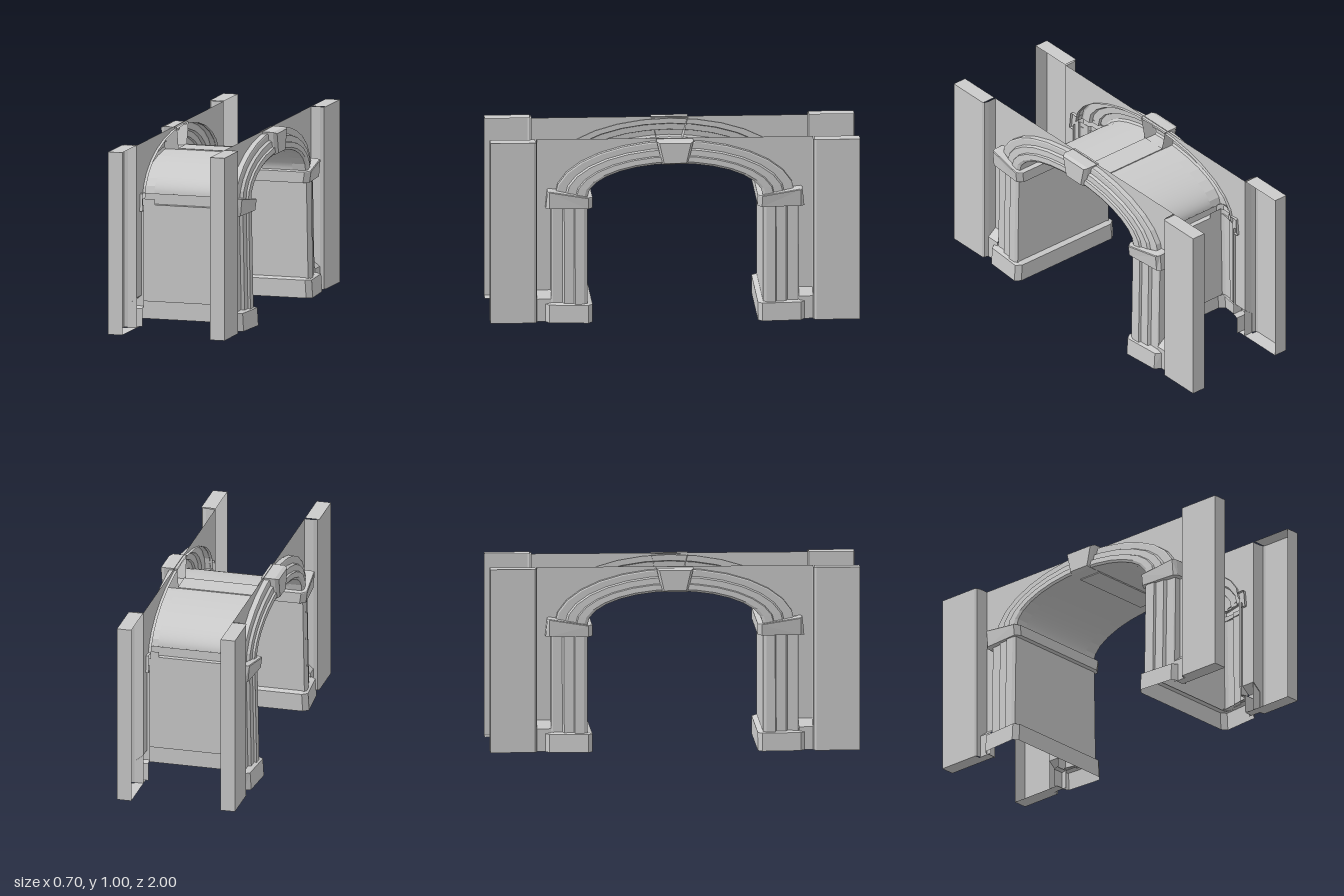
import * as THREE from 'three';

const material = new THREE.MeshStandardMaterial({ color: 0xcccccc, side: THREE.DoubleSide });

// Skins a surface across rows of [x, y, z] points
function loft(name, rows, smooth = false) {
  const n = rows[0].length, index = [];
  for (let i = 0; i < rows.length - 1; i++) {
    for (let j = 0; j < n - 1; j++) {
      const a = i * n + j, b = a + n;
      index.push(a, b, a + 1, b, b + 1, a + 1);
    }
  }
  let geometry = new THREE.BufferGeometry();
  geometry.setAttribute('position', new THREE.Float32BufferAttribute(rows.flat(2), 3));
  geometry.setIndex(index);
  if (!smooth) geometry = geometry.toNonIndexed();
  geometry.computeVertexNormals();
  const mesh = new THREE.Mesh(geometry, material);
  mesh.name = name;
  return mesh;
}

// Flat horizontal rectangle
const plate = (name, x0, x1, z0, z1, y) =>
  loft(name, [[[x0, y, z0], [x1, y, z0]], [[x0, y, z1], [x1, y, z1]]]);

// Places a plan path of [x, z] points at a height
const at = (path, y) => path.map(([x, z]) => [x, y, z]);

// Point on the arch: t = 0 at the opening, t = 1 at the outer rim
const SPRING = 0.69, WALL = 0.25, RIM = 0.65;
const arch = (x, t, angle) => [
  x,
  SPRING + (0.182 + 0.118 * t) * Math.sin(angle),
  (0.475 + (RIM - 0.475) * t) * Math.cos(angle),
];
const angles = count => Array.from({ length: count + 1 }, (_, i) => (Math.PI * i) / count);

// Section shared by arch ring and columns, stepping back from the opening: [t across, x outward]
const moulding = [
  [0, 0.235], [0, 0.308], [0.1, 0.316], [0.34, 0.314], [0.37, 0.302],
  [0.64, 0.3], [0.69, 0.284], [0.95, 0.284], [1, 0.28], [1, 0.235],
];

// Plan outline of a pier running through the passage, mirrored in x
const mirrored = half => [...half, ...half.map(([x, z]) => [-x, z]).reverse()];
const pierCore = mirrored([[0.235, 0.67], [0.28, 0.67], [0.284, 0.66], [0.315, 0.49], [0.305, 0.475]]);
const pierBand = reach => mirrored([
  [0.235, 0.7], [0.3, 0.7], [reach - 0.015, 0.68], [reach, 0.47], [reach - 0.03, 0.447]]);

function createPier() {
  const pier = new THREE.Group();
  pier.name = 'pier';

  // Passage side wall
  pier.add(loft('passageWall', [
    [[-0.3, 0.1, 0.475], [0.3, 0.1, 0.475]],
    [[-0.3, 0.63, 0.475], [0.3, 0.63, 0.475]],
  ]));

  // Plinth with a chamfered ledge
  pier.add(loft('plinth', [
    at(pierBand(0.35), 0), at(pierBand(0.344), 0.098), at(pierCore, 0.108)]));

  // Impost with a top sloping up away from the opening
  const slope = (path, maxZ, lift) => path.map(([x, z]) =>
    [x, 0.69 + lift + (z - 0.447) * 0.15, Math.min(z, maxZ)]);
  pier.add(loft('impost', [
    at(pierCore, 0.63), at(pierBand(0.332), 0.63),
    slope(pierBand(0.34), 0.69, -0.004), slope(pierBand(0.336), 0.68, 0),
    slope(pierCore, RIM - 0.01, 0),
  ]));
  return pier;
}

function createEndBay() {
  const bay = new THREE.Group();
  bay.name = 'endBay';

  // Hollow end pilaster, open towards the passage
  const path = [[WALL, 1], [0.33, 1], [0.33, 0.765], [0.322, 0.752], [0.3, 0.746], [WALL, 0.746]];
  bay.add(loft('pilaster', [at(path, 0), at(path, 1)]));
  bay.add(plate('pilasterTop', WALL, 0.33, 0.755, 1, 1));
  bay.add(plate('pilasterFoot', WALL, 0.33, 0.755, 1, 0));

  // Wall strip between pilaster and arch
  bay.add(loft('sideWall', [0.165, 1].map(y => [[WALL, y, RIM - 0.006], [WALL, y, 0.75]])));

  // Skirting beside the plinth
  bay.add(loft('skirting', [[0.3, 0], [0.3, 0.125], [WALL, 0.165]]
    .map(([x, y]) => [[x, y, 0.67], [x, y, 0.75]])));
  bay.add(plate('skirtingFoot', WALL, 0.3, 0.69, 0.755, 0));

  // Moulded column, leaning out towards its foot
  bay.add(loft('column', [[0.1, 0.014], [0.66, 0.004]].map(([y, lean]) =>
    moulding.map(([t, x]) => [x > WALL ? x + lean : x, y, 0.475 + 0.195 * t]))));
  return bay;
}

function createFacade() {
  const facade = new THREE.Group();
  facade.name = 'facade';
  for (const side of [1, -1]) {
    const bay = createEndBay();
    bay.scale.z = side;
    facade.add(bay);
  }

  // Faceted arch ring and the wall above it
  const steps = angles(14);
  facade.add(loft('archRing', steps.map(a => moulding.map(([t, x]) => arch(x, t, a)))));
  facade.add(loft('spandrel', steps.map(a => {
    const [x, y, z] = arch(WALL, 0.98, a);
    return [[x, y, z], [x, 1, z]];
  })));

  // Keystone: tapered block with chamfered face
  const ring = (x, bottom, top, low, high) => [
    [x, low, -bottom], [x, low, bottom], [x, high, top], [x, high, -top], [x, low, -bottom]];
  facade.add(loft('keystone', [
    ring(0.235, 0.07, 0.1, 0.868, 0.996),
    ring(0.31, 0.07, 0.1, 0.868, 0.996),
    ring(0.33, 0.06, 0.085, 0.878, 0.988),
    ring(0.33, 0, 0, 0.93, 0.93),
  ]));
  return facade;
}

export function createModel() {
  const model = new THREE.Group();
  model.name = 'archedGateway';

  for (const side of [1, -1]) {
    const facade = createFacade();
    facade.scale.x = side;
    model.add(facade);

    const pier = createPier();
    pier.scale.z = side;
    model.add(pier);
  }

  // Barrel vault through the passage
  model.add(loft('vault', angles(36).map(a => [arch(-0.24, 0, a), arch(0.24, 0, a)]), true));

  // Crown band joining the keystones
  const crown = new THREE.Mesh(new THREE.BoxGeometry(0.48, 0.012, 0.14), material);
  crown.name = 'crownBand';
  crown.position.y = 0.869;
  model.add(crown);

  return model;
}
